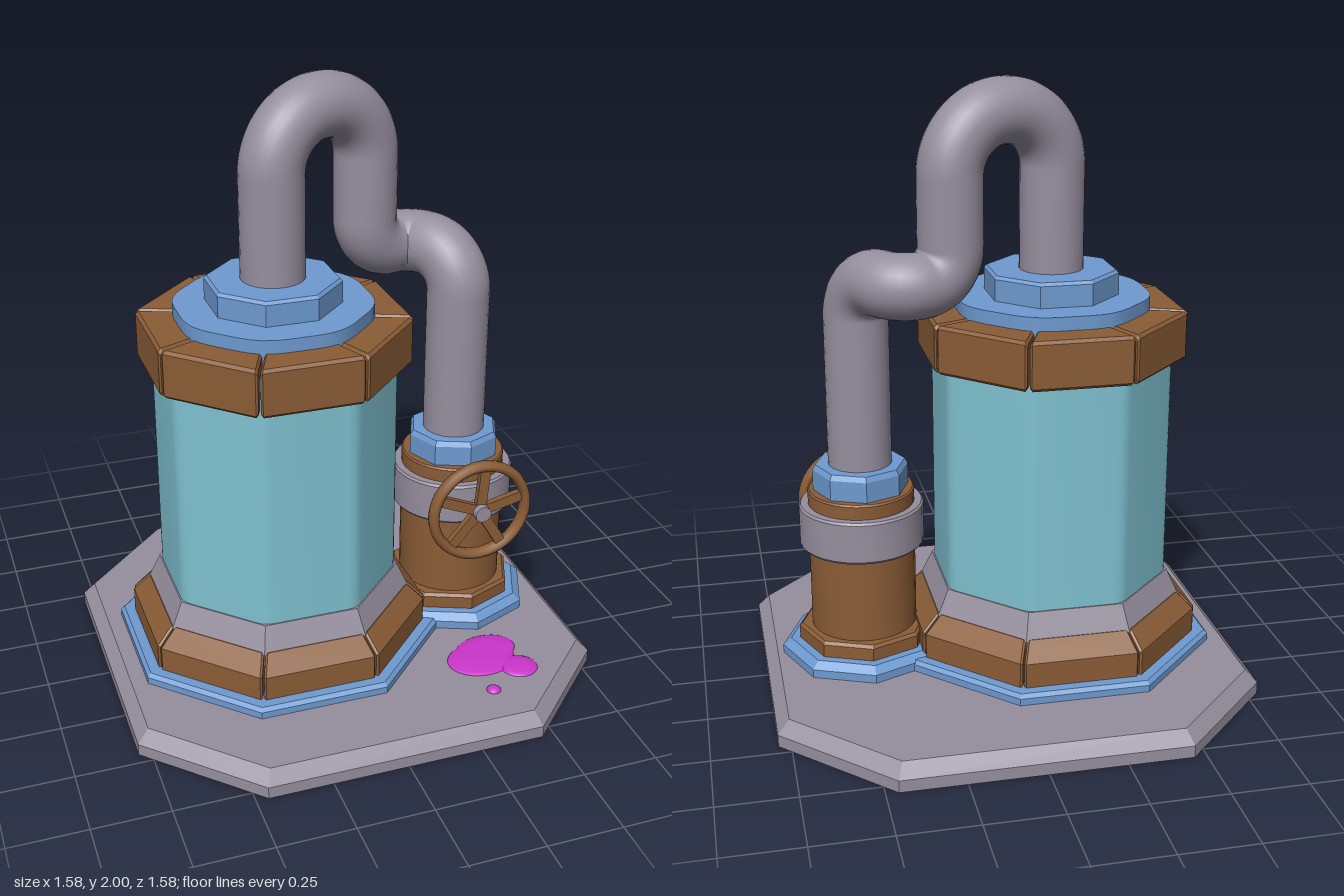
import * as THREE from 'three';
import { toCreasedNormals } from 'three/addons/utils/BufferGeometryUtils.js';
import { ConvexGeometry } from 'three/addons/geometries/ConvexGeometry.js';

const colours = { stoneGrey: 0x968f9e, copperBrown: 0x8a5c36, steelBlue: 0x6e9ad0, tankTeal: 0x7fc2d1, spillMagenta: 0xcb35cb };
const mats = {};
for (const [name, color] of Object.entries(colours)) {
  mats[name] = new THREE.MeshStandardMaterial({ color });
  mats[name].name = name;
}

const TANK_X = -0.185, VALVE_X = 0.455;
const T = Math.tan(Math.PI / 8), C = Math.cos(Math.PI / 8);

function add(parent, name, geo, mat, x = 0, y = 0, z = 0) {
  const m = new THREE.Mesh(geo, mats[mat]);
  m.name = name;
  m.position.set(x, y, z);
  parent.add(m);
  return m;
}

// Turned solid from [radius, y] pairs; few sides stay faceted, many look round
function turned(profile, sides, phi = 0) {
  const pts = profile.map(([r, y]) => new THREE.Vector2(r, y));
  pts.unshift(new THREE.Vector2(0, pts[0].y));
  pts.push(new THREE.Vector2(0, pts[pts.length - 1].y));
  return toCreasedNormals(new THREE.LatheGeometry(pts, sides, phi), 0.3);
}

// Octagon with flats facing the axes, sized by its apothem
const octagon = (profile) => turned(profile.map(([a, y]) => [a / C, y]), 8, Math.PI / 8);

// Upright octagonal prism with softened corners
function softOctagon(apothem, trim, y0, y1) {
  const R = apothem / C, s = new THREE.Shape();
  const corner = (i) => new THREE.Vector2(Math.cos((i + 0.5) * Math.PI / 4), Math.sin((i + 0.5) * Math.PI / 4)).multiplyScalar(R);
  const f = trim / (2 * apothem * T);
  for (let i = 0; i < 8; i++) {
    const c = corner(i), a = c.clone().lerp(corner(i - 1), f), b = c.clone().lerp(corner(i + 1), f);
    if (i) s.lineTo(a.x, a.y); else s.moveTo(a.x, a.y);
    s.quadraticCurveTo(c.x, c.y, b.x, b.y);
  }
  s.closePath();
  const g = new THREE.ExtrudeGeometry(s, { depth: y1 - y0, bevelEnabled: false, curveSegments: 4 });
  g.rotateX(-Math.PI / 2).translate(0, y0, 0);
  return toCreasedNormals(g, 0.4);
}

// Ring of eight separate mitred blocks with chamfered ends
function blockRing(name, profile, gap) {
  const ring = new THREE.Group();
  ring.name = name;
  const cr = profile.reduce((s, p) => s + p[0], 0) / profile.length;
  const cy = profile.reduce((s, p) => s + p[1], 0) / profile.length;
  const pts = [];
  for (const side of [-1, 1]) for (const [r, y] of profile) {
    pts.push(new THREE.Vector3(side * (r * T - gap - 0.008), y, r));
    const r2 = r + (cr - r) * 0.13, y2 = y + (cy - y) * 0.13;
    pts.push(new THREE.Vector3(side * (r2 * T - gap), y2, r2));
  }
  const geo = new ConvexGeometry(pts);
  for (let i = 0; i < 8; i++) add(ring, name + 'Block', geo, 'copperBrown').rotation.y = i * Math.PI / 4;
  ring.position.x = TANK_X;
  return ring;
}

// Path through points with circular-looking bends; each point is [x, y, z, trim]
function bentPath(points) {
  const path = new THREE.CurvePath();
  const v = points.map((p) => new THREE.Vector3(p[0], p[1], p[2]));
  let last = v[0];
  for (let i = 1; i < v.length - 1; i++) {
    const t = points[i][3];
    const a = v[i].clone().add(v[i - 1].clone().sub(v[i]).setLength(t));
    const b = v[i].clone().add(v[i + 1].clone().sub(v[i]).setLength(t));
    path.add(new THREE.LineCurve3(last, a));
    path.add(new THREE.CubicBezierCurve3(a, a.clone().lerp(v[i], 0.55), b.clone().lerp(v[i], 0.55), b));
    last = b;
  }
  path.add(new THREE.LineCurve3(last, v[v.length - 1]));
  return path;
}

export function createModel() {
  const model = new THREE.Group();
  model.name = 'tankWithValve';

  // Base slab: square with cut corners and a bevelled top edge
  const slab = [];
  for (const [h, c, y] of [[0.79, 0.46, 0], [0.79, 0.46, 0.04], [0.752, 0.443, 0.082]])
    for (const sx of [-1, 1]) for (const sz of [-1, 1])
      slab.push(new THREE.Vector3(sx * h, y, sz * c), new THREE.Vector3(sx * c, y, sz * h));
  add(model, 'baseSlab', new ConvexGeometry(slab), 'stoneGrey');

  // Tank
  add(model, 'tankFlange', octagon([[0.515, 0.07], [0.515, 0.105], [0.503, 0.117]]), 'steelBlue', TANK_X);
  model.add(blockRing('lowerRing', [[0.36, 0.11], [0.47, 0.11], [0.47, 0.2], [0.415, 0.256], [0.36, 0.256]], 0.003));
  add(model, 'tankCollar', octagon([[0.4, 0.12], [0.415, 0.25], [0.378, 0.335]]), 'stoneGrey', TANK_X);
  add(model, 'tankBody', softOctagon(0.374, 0.03, 0.3, 1.2), 'tankTeal', TANK_X);
  model.add(blockRing('upperRing', [[0.29, 1.09], [0.405, 1.09], [0.415, 1.1], [0.415, 1.24], [0.405, 1.25], [0.29, 1.25]], 0.004));
  add(model, 'tankCap', softOctagon(0.313, 0.08, 1.19, 1.294), 'steelBlue', TANK_X);
  add(model, 'capNut', octagon([[0.205, 1.28], [0.205, 1.365], [0.196, 1.375]]), 'steelBlue', TANK_X);

  // Pipe from tank to valve
  const path = bentPath([
    [TANK_X, 1.3, 0], [TANK_X, 1.895, 0, 0.185], [0.17, 1.895, -0.13, 0.185],
    [0.17, 1.38, -0.13, 0.11], [0.345, 1.38, -0.195, 0.078], [VALVE_X, 1.38, 0, 0.13], [VALVE_X, 0.7, 0],
  ]);
  add(model, 'pipe', new THREE.TubeGeometry(path, 160, 0.105, 28), 'stoneGrey');

  // Valve column
  const valve = new THREE.Group();
  valve.name = 'valveColumn';
  valve.position.x = VALVE_X;
  model.add(valve);
  add(valve, 'valveFlange', turned([[0.278, 0.07], [0.278, 0.11], [0.25, 0.132]], 8), 'steelBlue');
  add(valve, 'valveFoot', turned([[0.22, 0.12], [0.22, 0.175], [0.21, 0.185]], 8), 'copperBrown');
  add(valve, 'valveBody', turned([[0.176, 0.15], [0.176, 0.66], [0.171, 0.666]], 32), 'copperBrown');
  add(valve, 'valveBand', turned([[0.2, 0.472], [0.206, 0.48], [0.206, 0.608], [0.2, 0.616]], 32), 'stoneGrey');
  add(valve, 'valveNut', turned([[0.158, 0.65], [0.158, 0.735], [0.148, 0.752]], 8), 'steelBlue');

  // Hand wheel
  const wheel = new THREE.Group();
  wheel.name = 'handWheel';
  wheel.position.set(VALVE_X + 0.005, 0.535, 0.235);
  model.add(wheel);
  const rim = new THREE.TorusGeometry(0.167, 0.018, 10, 40);
  rim.scale(1, 1, 1.35);
  add(wheel, 'wheelRim', rim, 'copperBrown');
  for (let i = 0; i < 5; i++) {
    const spoke = new THREE.BoxGeometry(0.16, 0.036, 0.022).translate(0.085, 0, 0);
    add(wheel, 'wheelSpoke', spoke, 'copperBrown').rotation.z = THREE.MathUtils.degToRad(13 + 72 * i);
  }
  const hub = new THREE.CylinderGeometry(0.028, 0.028, 0.09, 20).rotateX(Math.PI / 2);
  add(wheel, 'wheelHub', hub, 'stoneGrey', 0, 0, -0.01);

  // Spilled puddle: low domes
  for (const [x, z, rx, rz, turn] of [
    [0.395, 0.44, 0.12, 0.094, 0.1], [0.43, 0.395, 0.11, 0.078, 0.15],
    [0.498, 0.52, 0.063, 0.06, 0], [0.364, 0.612, 0.024, 0.024, 0],
  ]) {
    const dome = new THREE.SphereGeometry(1, 28, 6, 0, Math.PI * 2, 0, Math.PI / 2).scale(rx, 0.014, rz);
    add(model, 'puddle', dome, 'spillMagenta', x, 0.081, z).rotation.y = turn;
  }
  return model;
}
